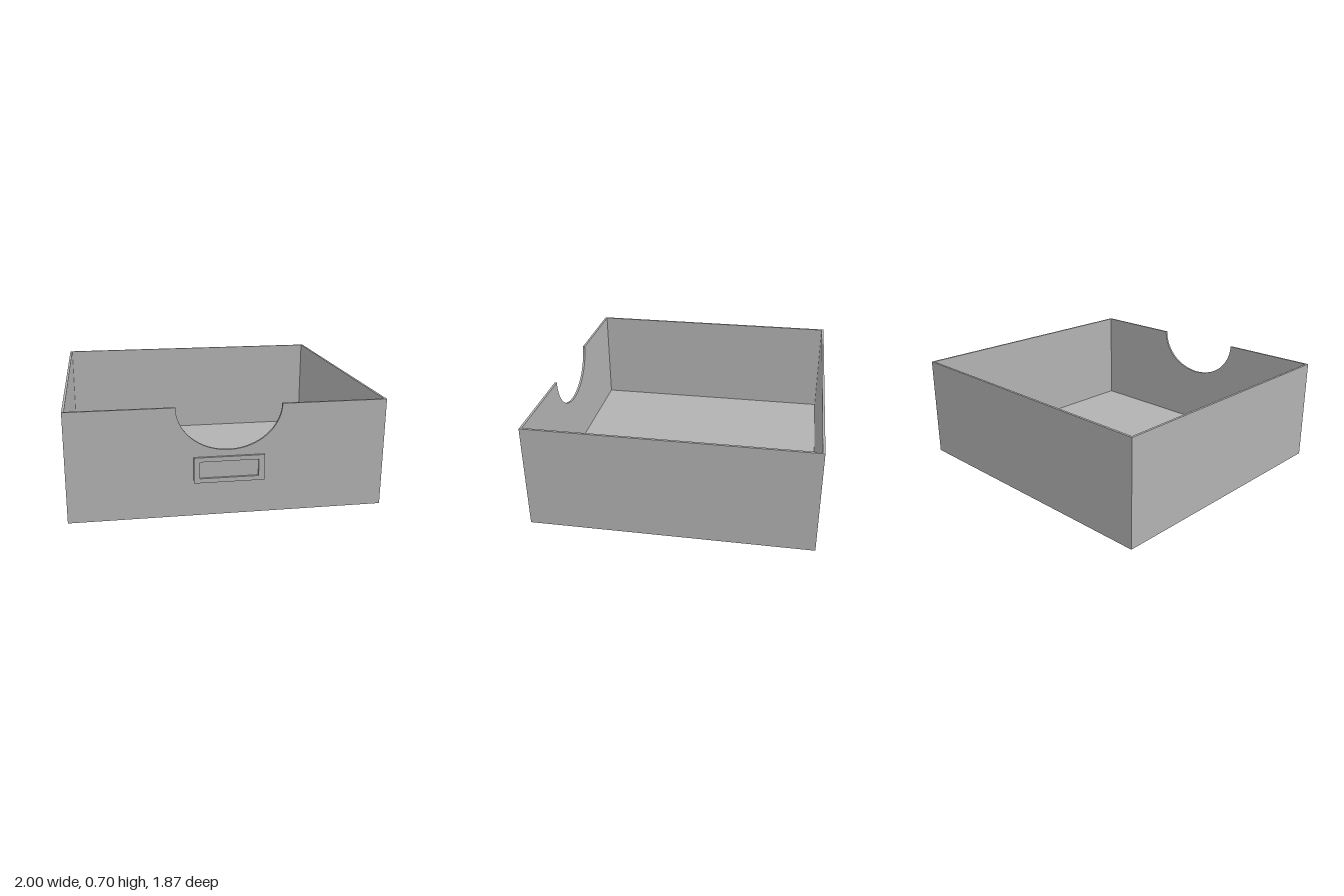
import * as THREE from 'three';

const WIDTH = 2, HEIGHT = 0.705, WALL = 0.015;
const BACK = -0.935, FRONT = 0.92;

export function createModel() {
  const model = new THREE.Group();
  model.name = 'storageTray';
  const grey = new THREE.MeshStandardMaterial({ color: 0xb2b2b2 });
  grey.name = 'grey';

  const add = (name, geometry, x, y, z) => {
    const mesh = new THREE.Mesh(geometry, grey);
    mesh.name = name;
    mesh.position.set(x, y, z);
    model.add(mesh);
  };
  const extrude = (shape) =>
    new THREE.ExtrudeGeometry(shape, { depth: WALL, bevelEnabled: false, curveSegments: 48 });

  // Floor, side walls and back wall
  const innerDepth = FRONT - BACK - 2 * WALL;
  const midZ = (FRONT + BACK) / 2;
  const wallHeight = HEIGHT - WALL;
  const wallY = WALL + wallHeight / 2;
  add('floor', new THREE.BoxGeometry(WIDTH, WALL, innerDepth), 0, WALL / 2, midZ);
  for (const [name, side] of [['leftWall', 1], ['rightWall', -1]]) {
    add(name, new THREE.BoxGeometry(WALL, wallHeight, innerDepth), side * (WIDTH - WALL) / 2, wallY, midZ);
  }
  add('backWall', new THREE.BoxGeometry(WIDTH, HEIGHT, WALL), 0, HEIGHT / 2, BACK + WALL / 2);

  // Front wall with a half-elliptical finger cutout in its top edge
  const front = new THREE.Shape();
  front.moveTo(-WIDTH / 2, 0);
  front.lineTo(WIDTH / 2, 0);
  front.lineTo(WIDTH / 2, HEIGHT);
  front.lineTo(0.33, HEIGHT);
  front.absellipse(0, HEIGHT, 0.33, 0.28, 0, Math.PI, true);
  front.lineTo(-WIDTH / 2, HEIGHT);
  front.closePath();
  add('frontWall', extrude(front), 0, 0, FRONT - WALL);

  // Raised rectangular label holder
  const rectangle = (path, w, h) => path.setFromPoints([
    [-w, -h], [w, -h], [w, h], [-w, h],
  ].map(([x, y]) => new THREE.Vector2(x, y)));
  const frame = rectangle(new THREE.Shape(), 0.222, 0.083);
  frame.holes.push(rectangle(new THREE.Path(), 0.185, 0.054));
  add('labelFrame', extrude(frame), 0, 0.302, FRONT);

  return model;
}
